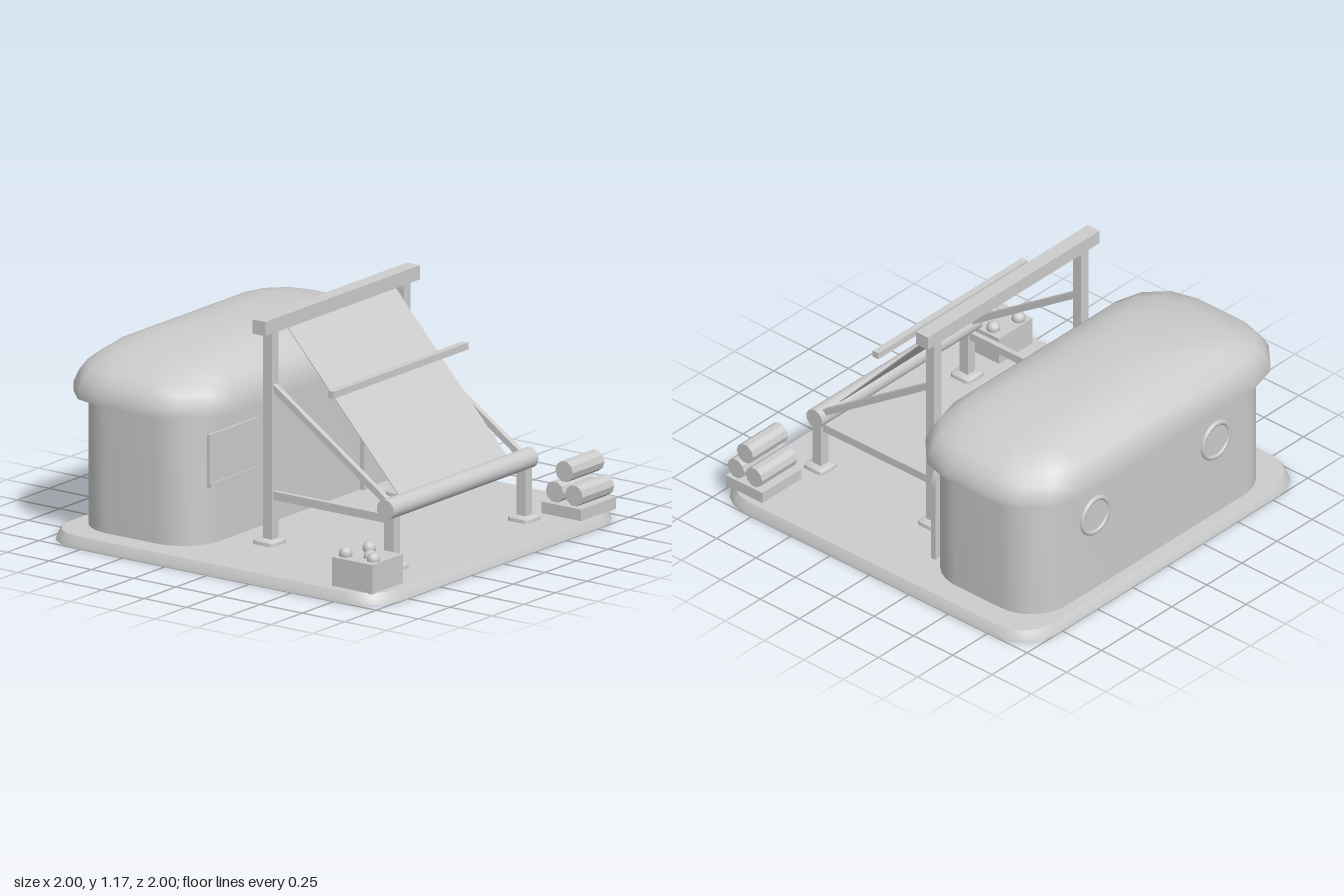
import * as THREE from 'three';
import { toCreasedNormals } from 'three/addons/utils/BufferGeometryUtils.js';

// Solid lofted through rounded-rectangle rings [halfX, halfZ, cornerRadius, y], bottom to top
function loft(rings, seg, crease) {
  const pos = [], idx = [];
  const n = 4 * (seg + 1);
  for (const [hx, hz, r, y] of rings) {
    for (let q = 0; q < 4; q++) {
      const sx = q === 0 || q === 3 ? 1 : -1, sz = q < 2 ? 1 : -1;
      for (let k = 0; k <= seg; k++) {
        const a = (q + k / seg) * Math.PI / 2;
        pos.push(sx * (hx - r) + r * Math.cos(a), y, sz * (hz - r) + r * Math.sin(a));
      }
    }
  }
  for (let i = 0; i < rings.length - 1; i++) {
    for (let j = 0; j < n; j++) {
      const a = i * n + j, b = i * n + (j + 1) % n;
      idx.push(a, a + n, b + n, a, b + n, b);
    }
  }
  const top = (rings.length - 1) * n, c = rings.length * n;
  pos.push(0, rings[0][3], 0, 0, rings[rings.length - 1][3], 0);
  for (let j = 0; j < n; j++) {
    const k = (j + 1) % n;
    idx.push(c, j, k, c + 1, top + k, top + j);
  }
  const g = new THREE.BufferGeometry();
  g.setAttribute('position', new THREE.Float32BufferAttribute(pos, 3));
  g.setIndex(idx);
  return toCreasedNormals(g, crease);
}

// Round-headed outline standing on y = 0
function archPath(P, r, springY) {
  const p = new P();
  p.moveTo(-r, 0);
  p.lineTo(r, 0);
  p.lineTo(r, springY);
  p.absarc(0, springY, r, 0, Math.PI, false);
  p.lineTo(-r, 0);
  return p;
}

export function createModel() {
  const model = new THREE.Group();
  const grey = new THREE.MeshStandardMaterial({ color: 0xcccccc });
  grey.name = 'lightGrey';

  const add = (name, geo, x = 0, y = 0, z = 0) => {
    const m = new THREE.Mesh(geo, grey);
    m.name = name;
    m.position.set(x, y, z);
    model.add(m);
    return m;
  };
  // Box given by its extents
  const box = (name, x0, x1, y0, y1, z0, z1) =>
    add(name, new THREE.BoxGeometry(x1 - x0, y1 - y0, z1 - z0), (x0 + x1) / 2, (y0 + y1) / 2, (z0 + z1) / 2);
  // Beam of square section between two points in a plane of constant x
  const beam = (name, x, y0, z0, y1, z1, width, thick) => {
    const m = add(name, new THREE.BoxGeometry(width, thick, Math.hypot(y1 - y0, z1 - z0)),
      x, (y0 + y1) / 2, (z0 + z1) / 2);
    m.rotation.x = -Math.atan2(y1 - y0, z1 - z0);
    return m;
  };

  // Ground slab
  add('groundSlab', loft([[1, 1, 0.2, 0], [0.995, 0.995, 0.2, 0.02], [0.975, 0.975, 0.18, 0.053]], 4, 0.5));

  // House walls and domed roof
  const houseZ = -0.56;
  add('houseWalls', loft([[0.855, 0.363, 0.22, 0.05], [0.855, 0.363, 0.22, 0.72]], 8, 0.6), 0, 0, houseZ);
  const roofProfile = [[1, 0.7], [1, 0.742], [0.965, 0.8], [0.915, 0.845], [0.76, 0.905], [0.52, 0.948], [0.28, 0.965]];
  add('roof', loft(roofProfile.map(([s, y]) => [0.934 * s, 0.437 * s, 0.3 * s, y]), 3, 0.95), 0, 0, houseZ);

  // Door with arched frame and knob
  const doorX = 0.613, wallFront = -0.2;
  const extrude = (shape, depth) =>
    new THREE.ExtrudeGeometry(shape, { depth, bevelEnabled: false, curveSegments: 16 });
  add('door', extrude(archPath(THREE.Shape, 0.12, 0.41), 0.012), doorX, 0.053, wallFront);
  const frame = archPath(THREE.Shape, 0.143, 0.41);
  frame.holes.push(archPath(THREE.Path, 0.118, 0.41));
  add('doorFrame', extrude(frame, 0.028), doorX, 0.053, wallFront);
  add('doorKnob', new THREE.SphereGeometry(0.013, 10, 8), 0.68, 0.295, -0.172);

  // Front window and its sill
  box('frontWindow', -0.735, -0.35, 0.36, 0.6, -0.2, -0.185);
  box('windowSill', -0.735, -0.35, 0.338, 0.36, -0.2, -0.178);

  // Round windows in the back wall
  for (const x of [-0.43, 0.43]) {
    add('roundWindowFrame', new THREE.TorusGeometry(0.092, 0.014, 8, 24), x, 0.468, -0.923);
    const glass = add('roundWindowGlass', new THREE.CylinderGeometry(0.09, 0.09, 0.008, 24), x, 0.468, -0.924);
    glass.rotation.x = Math.PI / 2;
  }

  // Awning frame: posts, feet, rails and braces on both sides
  for (const x of [-0.523, 0.523]) {
    box('backPost', x - 0.026, x + 0.026, 0.05, 1.11, -0.008, 0.044);
    box('frontPost', x - 0.026, x + 0.026, 0.05, 0.35, 0.71, 0.764);
    for (const z of [0.012, 0.737]) {
      add('postFoot', loft([[0.062, 0.062, 0.02, 0.05], [0.06, 0.06, 0.02, 0.07], [0.046, 0.046, 0.015, 0.08]], 3, 0.6), x, 0, z);
    }
    box('sideRail', x - 0.014, x + 0.014, 0.274, 0.315, 0.03, 0.72);
    beam('diagonalBrace', x, 0.84, 0.02, 0.37, 0.72, 0.028, 0.032);
  }
  box('topBeam', -0.612, 0.612, 1.1, 1.17, -0.024, 0.052);
  box('crossBar', -0.535, 0.53, 0.833, 0.867, 0.365, 0.4);
  const roller = add('frontRoller', new THREE.CylinderGeometry(0.05, 0.05, 1.145, 20), -0.002, 0.35, 0.735);
  roller.rotation.z = Math.PI / 2;
  beam('clothSheet', -0.003, 1.12, 0.03, 0.37, 0.72, 0.852, 0.005);

  // Crate of round fruit
  box('crate', -0.936, -0.696, 0.05, 0.195, 0.69, 0.93);
  for (const [x, y, z] of [[-0.88, 0.207, 0.73], [-0.74, 0.207, 0.765], [-0.832, 0.198, 0.84], [-0.867, 0.202, 0.885]]) {
    add('fruit', new THREE.SphereGeometry(0.034, 10, 7), x, y, z);
  }

  // Stack of logs on a low block
  box('logBase', 0.662, 0.94, 0.05, 0.11, 0.735, 0.968);
  for (const [y, z] of [[0.165, 0.8], [0.165, 0.915], [0.275, 0.857]]) {
    const geo = toCreasedNormals(new THREE.CylinderGeometry(0.052, 0.052, 0.25, 10), 0.3);
    add('log', geo, 0.803, y, z).rotation.z = Math.PI / 2;
  }

  return model;
}
